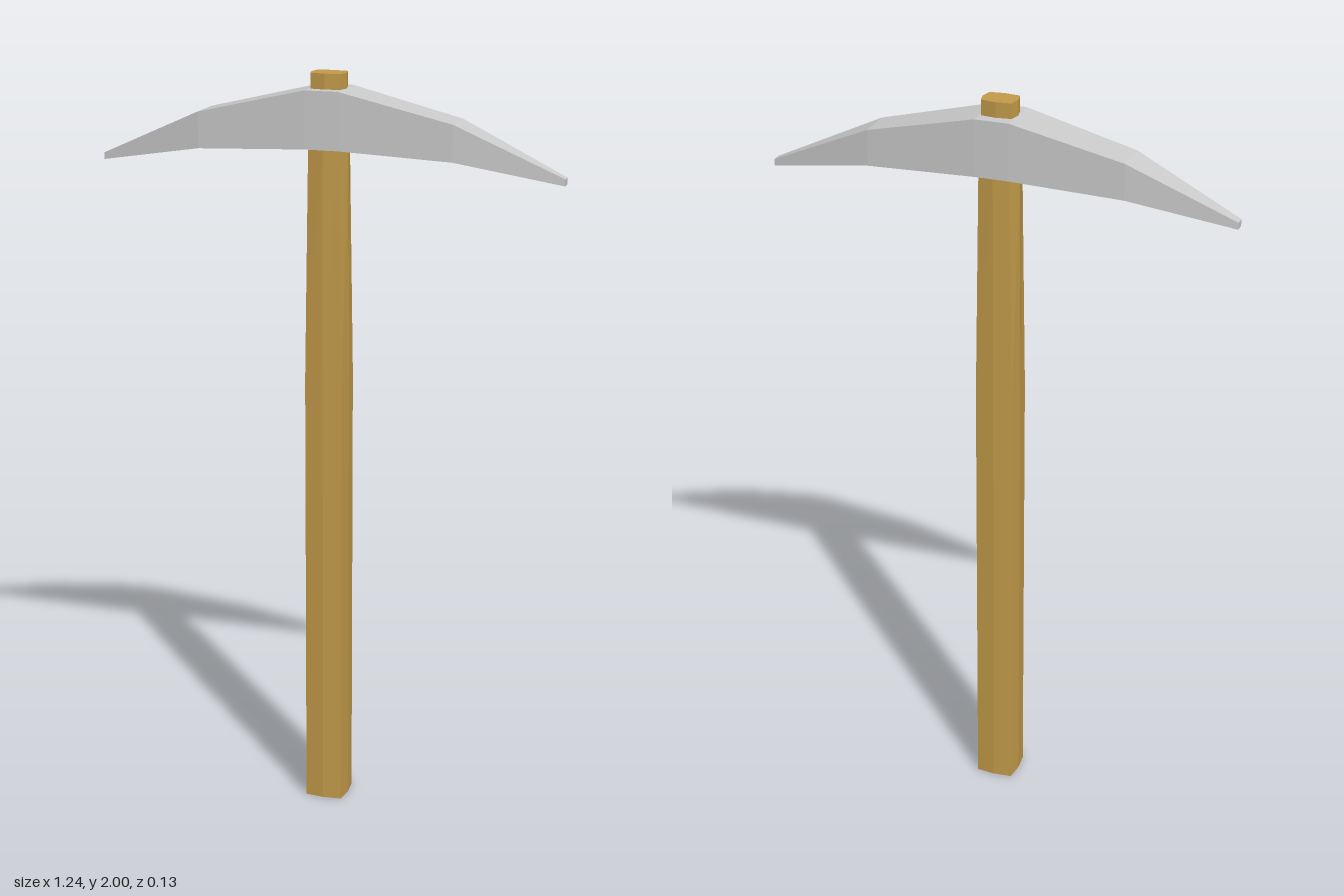
import * as THREE from 'three';

// Skins a list of equal-length rings of [x, y, z] and closes both ends.
// Rings run counter-clockwise when seen from the far end of the loft.
function loft(rings) {
  const pos = [];
  const tri = (a, b, c) => pos.push(...a, ...b, ...c);
  const n = rings[0].length;
  for (let i = 0; i < rings.length - 1; i++) {
    for (let j = 0; j < n; j++) {
      const k = (j + 1) % n;
      const [a, b, c, d] = [rings[i][j], rings[i][k], rings[i + 1][k], rings[i + 1][j]];
      tri(a, b, c);
      tri(a, c, d);
    }
  }
  const first = rings[0], last = rings[rings.length - 1];
  for (let j = 1; j < n - 1; j++) {
    tri(first[0], first[j + 1], first[j]);
    tri(last[0], last[j], last[j + 1]);
  }
  const geometry = new THREE.BufferGeometry();
  geometry.setAttribute('position', new THREE.Float32BufferAttribute(pos, 3));
  geometry.computeVertexNormals();
  return geometry;
}

// Handle section: a rectangle whose sides bulge slightly at the middle.
function handleRing(y, cornerX, cornerZ, midX, midZ) {
  return [
    [midX, y, 0], [cornerX, y, -cornerZ], [0, y, -midZ], [-cornerX, y, -cornerZ],
    [-midX, y, 0], [-cornerX, y, cornerZ], [0, y, midZ], [cornerX, y, cornerZ],
  ];
}

// Head section: an upright rectangle across the x axis.
function headRing(x, bottom, top, halfDepth) {
  return [
    [x, bottom, halfDepth], [x, bottom, -halfDepth],
    [x, top, -halfDepth], [x, top, halfDepth],
  ];
}

export function createModel() {
  const model = new THREE.Group();
  const wood = new THREE.MeshStandardMaterial({ color: 0xc49c4a, flatShading: true });
  const metal = new THREE.MeshStandardMaterial({ color: 0xcccccc, flatShading: true });

  // Wooden shaft, narrowing towards the head and poking out above it
  const handle = new THREE.Mesh(loft([
    handleRing(0, 0.05, 0.05, 0.055, 0.055),
    handleRing(1.2, 0.05, 0.05, 0.055, 0.055),
    handleRing(1.82, 0.04, 0.05, 0.052, 0.055),
    handleRing(1.93, 0.04, 0.031, 0.047, 0.036),
    handleRing(2, 0.04, 0.031, 0.047, 0.036),
  ]), wood);
  handle.name = 'handle';

  // Curved double-pointed head, mirrored about the shaft
  const half = [
    [0.045, 1.81, 1.96, 0.065],
    [0.34, 1.795, 1.89, 0.05],
    [0.62, 1.745, 1.763, 0.013],
  ];
  const stations = [...half.map(([x, ...rest]) => [-x, ...rest]).reverse(), ...half];
  const head = new THREE.Mesh(loft(stations.map((s) => headRing(...s))), metal);
  head.name = 'pickHead';

  model.add(handle, head);
  return model;
}
